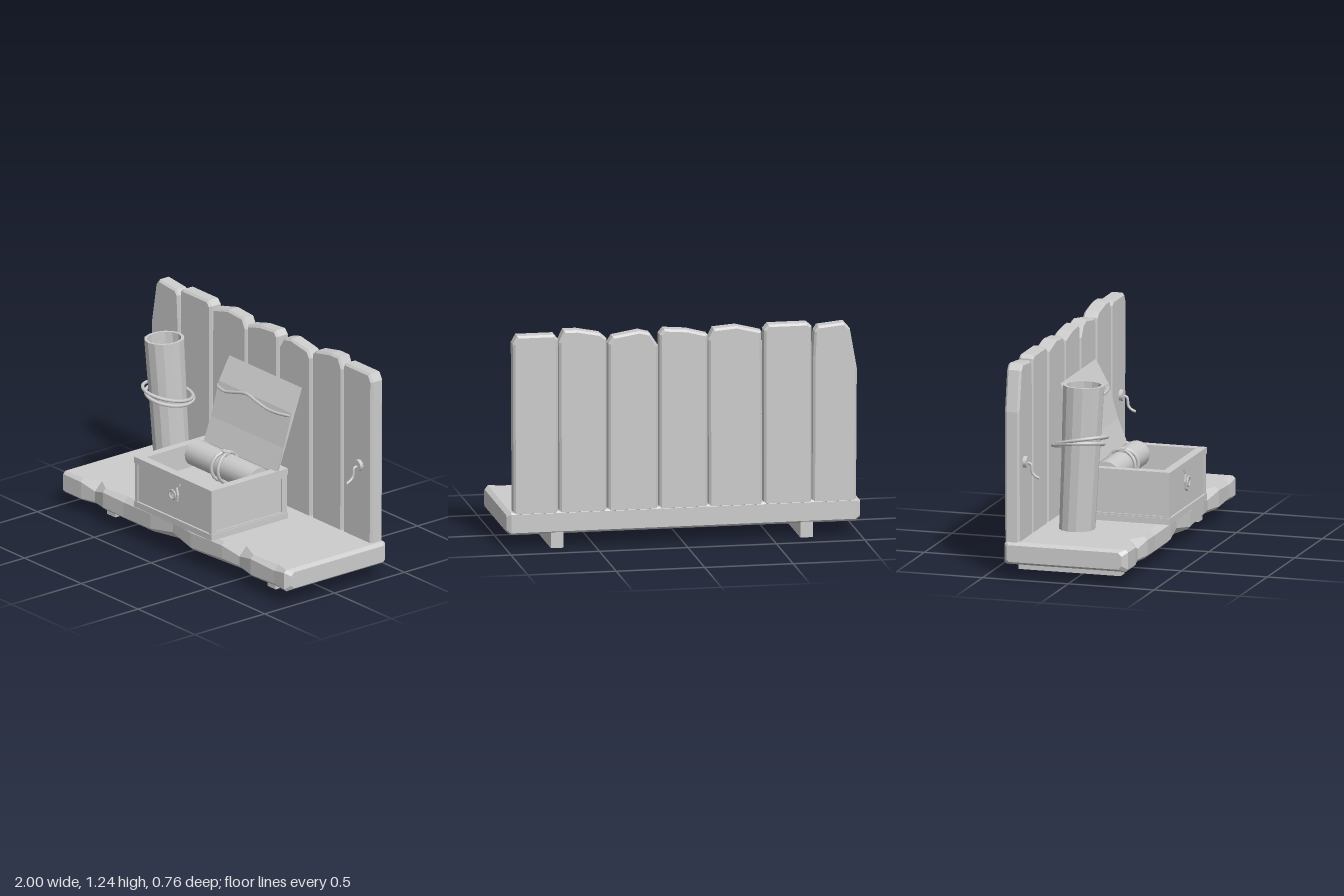
import * as THREE from 'three';

export function createModel() {
  const model = new THREE.Group();
  const grey = new THREE.MeshStandardMaterial({ color: 0xcccccc, side: THREE.DoubleSide });
  grey.name = 'plain grey';

  const add = (name, geo, x = 0, y = 0, z = 0, parent = model) => {
    const mesh = new THREE.Mesh(geo, grey);
    mesh.name = name;
    mesh.position.set(x, y, z);
    parent.add(mesh);
    return mesh;
  };
  const flat = (geo) => {
    const g = geo.index ? geo.toNonIndexed() : geo;
    g.computeVertexNormals();
    return g;
  };
  // box given by its limits
  const box = (name, x0, x1, y0, y1, z0, z1, parent) =>
    add(name, new THREE.BoxGeometry(x1 - x0, y1 - y0, z1 - z0),
      (x0 + x1) / 2, (y0 + y1) / 2, (z0 + z1) / 2, parent);
  const outline = (pts) => new THREE.Shape(pts.map(([x, y]) => new THREE.Vector2(x, y)));
  const rect = (x0, x1, y0, y1) => [[x0, y0], [x1, y0], [x1, y1], [x0, y1]];
  // rectangular ring of the given depth, lying in the xy plane
  const ring = (x0, x1, y0, y1, w, depth) => {
    const s = outline(rect(x0, x1, y0, y1));
    s.holes.push(outline(rect(x0 + w, x1 - w, y0 + w, y1 - w)));
    return new THREE.ExtrudeGeometry(s, { depth, bevelEnabled: false });
  };
  const rope = (name, pts, r, closed = false) => add(name, new THREE.TubeGeometry(
    new THREE.CatmullRomCurve3(pts.map((p) => new THREE.Vector3(...p)), closed),
    pts.length * 5, r, 7, closed));

  // Chipped base slab: cross-sections along x, [x, front z, top chamfer, bottom chamfer]
  const stations = [
    [-1, 0.31, 0.02, 0.02], [-0.97, 0.34, 0.015, 0.015], [-0.82, 0.335, 0.02, 0.01],
    [-0.72, 0.315, 0.05, 0.015], [-0.62, 0.34, 0.02, 0.02], [-0.45, 0.33, 0.03, 0.01],
    [-0.2, 0.34, 0.02, 0.02], [-0.03, 0.32, 0.02, 0.045], [0.15, 0.34, 0.025, 0.015],
    [0.42, 0.335, 0.02, 0.03], [0.55, 0.315, 0.05, 0.02], [0.68, 0.34, 0.02, 0.015],
    [0.88, 0.335, 0.03, 0.02], [0.975, 0.34, 0.015, 0.015], [1, 0.31, 0.02, 0.02],
  ];
  const pos = [], idx = [], N = 8;
  stations.forEach(([x, f, a, b], i) => {
    const end = i === 0 || i === stations.length - 1;
    const t = end ? 0.195 : 0.21, u = end ? 0.1 : 0.083, k = end ? -0.36 : -0.38;
    [[u, f - b], [u + b, f], [t - a, f], [t, f - a], [t, k + 0.01], [t - 0.01, k],
      [u + 0.012, k], [u, k + 0.012]].forEach(([y, z]) => pos.push(x, y, z));
    if (i) for (let j = 0; j < N; j++) {
      const p = (i - 1) * N + j, q = (i - 1) * N + (j + 1) % N;
      idx.push(p, p + N, q, q, p + N, q + N);
    }
  });
  const last = (stations.length - 1) * N;
  for (let j = 1; j < N - 1; j++) idx.push(0, j, j + 1, last, last + j + 1, last + j);
  const slab = new THREE.BufferGeometry();
  slab.setAttribute('position', new THREE.Float32BufferAttribute(pos, 3));
  slab.setIndex(idx);
  add('baseSlab', flat(slab));

  // Runners below the slab
  for (const x of [-0.695, 0.715]) box('runner', x - 0.036, x + 0.036, 0, 0.1, -0.375, 0.22);

  // Back planks with worn tops
  const planks = [
    [[-0.975, 0.19], [-0.73, 0.19], [-0.732, 1.0], [-0.74, 1.17], [-0.76, 1.2], [-0.91, 1.215], [-0.94, 1.18], [-0.98, 0.95]],
    [[-0.725, 0.19], [-0.455, 0.19], [-0.455, 1.19], [-0.48, 1.22], [-0.7, 1.22], [-0.725, 1.2]],
    [[-0.445, 0.19], [-0.145, 0.19], [-0.14, 1.15], [-0.17, 1.21], [-0.3, 1.22], [-0.44, 1.185]],
    [[-0.135, 0.19], [0.135, 0.19], [0.135, 1.19], [0.11, 1.22], [-0.02, 1.21], [-0.135, 1.18]],
    [[0.145, 0.19], [0.425, 0.19], [0.425, 1.15], [0.4, 1.19], [0.25, 1.215], [0.19, 1.2], [0.145, 1.13]],
    [[0.435, 0.19], [0.7, 0.19], [0.705, 1.17], [0.675, 1.235], [0.6, 1.235], [0.47, 1.21], [0.435, 1.18]],
    [[0.71, 0.19], [0.96, 0.19], [0.965, 1.17], [0.94, 1.215], [0.73, 1.215], [0.71, 1.19]],
  ];
  planks.forEach((p) => add('backPlank', flat(new THREE.ExtrudeGeometry(outline(p), {
    depth: 0.061, bevelThickness: 0.012, bevelSize: 0.012, bevelOffset: -0.012, bevelSegments: 1,
  })), 0, 0, -0.367));

  // Knobs with small hooks
  for (const x of [-0.885, 0.86]) {
    add('hookPlate', new THREE.CylinderGeometry(0.033, 0.033, 0.025, 12).rotateX(Math.PI / 2), x, 0.65, -0.285);
    rope('hook', [[x, 0.645, -0.28], [x, 0.64, -0.255], [x, 0.59, -0.245],
      [x, 0.57, -0.225], [x, 0.562, -0.205]], 0.008);
  }

  // Standing hollow roll, leaning slightly
  const roll = new THREE.LatheGeometry([[0.085, 0.21], [0.102, 0.21], [0.108, 0.6], [0.118, 1.035],
    [0.1, 1.035], [0.085, 0.21]].map(([r, y]) => new THREE.Vector2(r, y)), 14);
  const rp = roll.attributes.position;
  for (let i = 0; i < rp.count; i++) {
    const t = (rp.getY(i) - 0.21) / 0.825;
    rp.setX(i, rp.getX(i) * (1 - 0.12 * t) - 0.54 - 0.02 * t);
    rp.setZ(i, rp.getZ(i) - 0.095 + 0.045 * t);
  }
  add('standingRoll', flat(roll));

  // Cords around the standing roll
  const loop = (name, y, sx, sz, rx, rz, cz) => {
    const pts = [];
    for (let i = 0; i < 12; i++) {
      const a = i * Math.PI / 6, dx = rx * Math.cos(a), dz = rz * Math.sin(a);
      pts.push([-0.555 + dx, y + sx * dx + sz * dz, cz + dz]);
    }
    rope(name, pts, 0.01, true);
  };
  loop('rollCord', 0.715, -0.2, 0.2, 0.122, 0.15, -0.07);
  loop('rollCord', 0.69, -0.25, 0.1, 0.118, 0.145, -0.085);

  // Open chest: walls, rims, floor and side frames
  const chest = new THREE.Group();
  chest.name = 'chest';
  model.add(chest);
  const level = (name, o, w, y0, y1) => add(name,
    ring(-0.31 + o, 0.37 - o, -0.37 + o, 0.18 - o, w, y1 - y0).rotateX(-Math.PI / 2), 0, y0, 0, chest);
  level('chestWalls', 0.012, 0.038, 0.22, 0.5);
  level('chestTopRim', 0, 0.05, 0.47, 0.507);
  level('chestBaseRim', 0, 0.05, 0.21, 0.245);
  box('chestFloor', -0.28, 0.34, 0.22, 0.37, -0.15, 0.34, chest);
  for (const x of [-0.306, 0.358])
    add('chestSideFrame', ring(-0.365, 0.175, 0.22, 0.49, 0.035, 0.008).rotateY(Math.PI / 2), x, 0, 0, chest);
  for (const x of [-0.306, 0.346]) box('chestCornerPost', x, x + 0.02, 0.22, 0.49, 0.35, 0.366, chest);

  // Lock plate with ring and keyhole
  const lock = outline([[-0.06, 0.47], [-0.055, 0.445], [-0.03, 0.435], [-0.042, 0.39], [-0.035, 0.35],
    [0, 0.33], [0.035, 0.35], [0.042, 0.39], [0.03, 0.435], [0.055, 0.445], [0.06, 0.47]]);
  lock.holes.push(outline([[-0.01, 0.36], [0.01, 0.36], [0.007, 0.39], [-0.007, 0.39]]));
  add('lockPlate', new THREE.ExtrudeGeometry(lock, { depth: 0.012, bevelEnabled: false }), 0.03, 0, 0.358, chest);
  add('lockRing', new THREE.TorusGeometry(0.026, 0.006, 6, 16), 0.03, 0.385, 0.371, chest);

  // Thin lid leaning back against the planks
  const lid = outline([[-0.095, 0.5], [-0.28, 0.963], [-0.205, 0.83], [-0.11, 0.5]]);
  const lidGeo = new THREE.ExtrudeGeometry(lid, { depth: 0.64, bevelEnabled: false }).rotateY(-Math.PI / 2);
  add('lid', lidGeo, 0.37, 0, 0);

  // Wavy cord wrapped around the lid
  const wave = [[-0.285, 0.8], [-0.2, 0.795], [-0.12, 0.81], [-0.02, 0.83], [0.08, 0.815],
    [0.18, 0.802], [0.28, 0.805], [0.37, 0.81]];
  rope('lidCord', [...wave.map(([x, y], i) => [x, y, (i % 7 ? -0.185 : -0.21) - (y - 0.8) * 0.4]),
    [0.28, 0.8, -0.25], [0.04, 0.805, -0.255], [-0.2, 0.8, -0.25]], 0.009, true);

  // Scroll lying in the chest with its tie
  add('lyingScroll', new THREE.CylinderGeometry(0.076, 0.076, 0.56, 16).rotateZ(Math.PI / 2), 0.03, 0.455, -0.02);
  for (const s of [-1, 1]) {
    const tie = add('scrollTie', new THREE.TorusGeometry(0.086, 0.01, 7, 20), 0.03 + s * 0.012, 0.455, -0.015);
    tie.rotation.y = Math.PI / 2 + s * 0.2;
  }
  add('tieKnot', new THREE.BoxGeometry(0.05, 0.03, 0.03), 0.03, 0.535, -0.01);

  return model;
}
